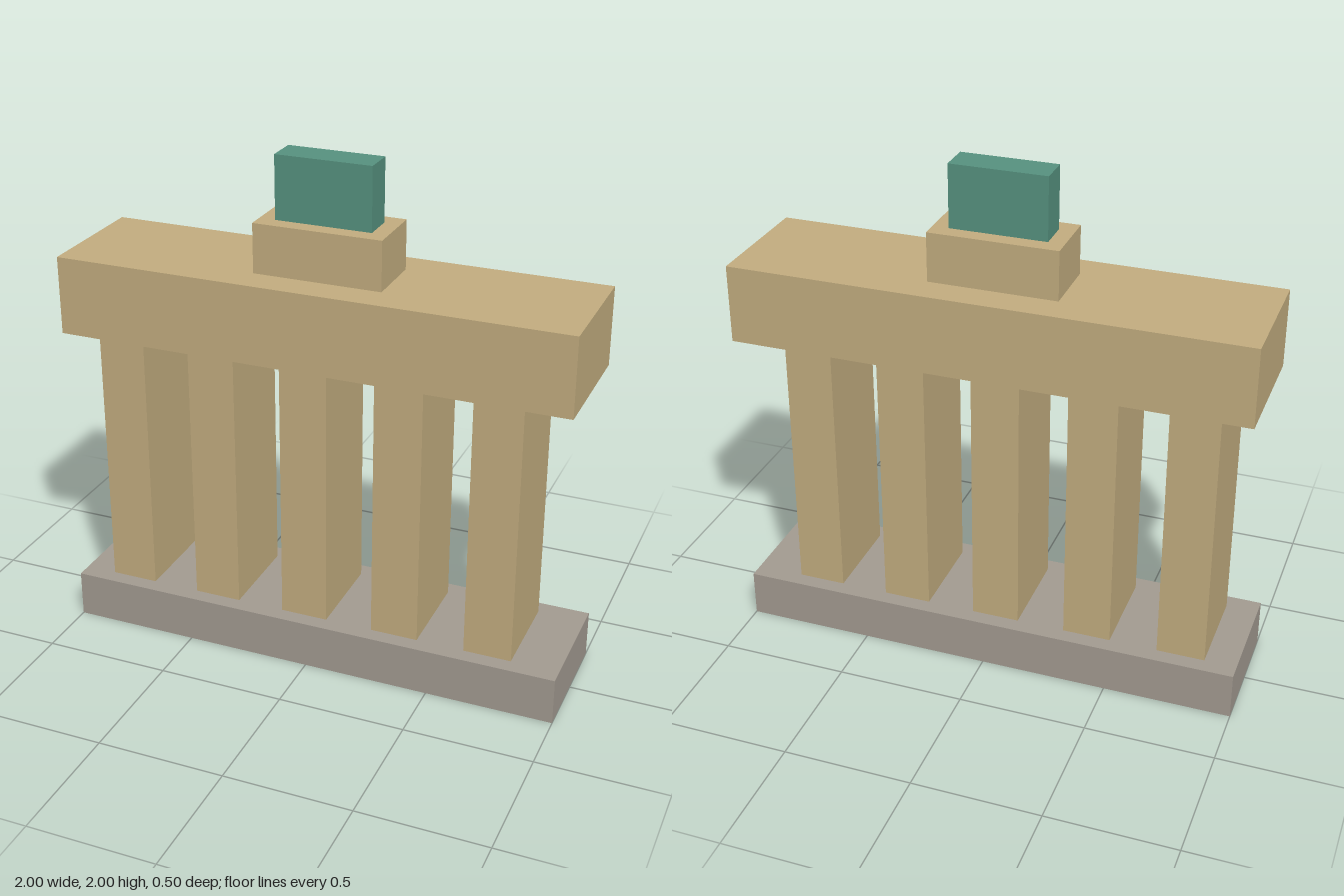
import * as THREE from 'three';

const material = (name, color) => {
  const m = new THREE.MeshStandardMaterial({ color });
  m.name = name;
  return m;
};

export function createModel() {
  const model = new THREE.Group();
  model.name = 'colonnadeGate';
  const sandstone = material('sandstone', 0xc4ae80);
  const greyStone = material('greyStone', 0xa49c92);
  const verdigris = material('verdigris', 0x579380);

  // Box centred on z, given its width, depth, bottom, top and x centre
  const block = (name, mat, width, depth, bottom, top, x = 0) => {
    const mesh = new THREE.Mesh(new THREE.BoxGeometry(width, top - bottom, depth), mat);
    mesh.name = name;
    mesh.position.set(x, (bottom + top) / 2, 0);
    model.add(mesh);
  };

  // Base slab
  block('base', greyStone, 2, 0.5, 0, 0.1875);

  // Row of five square pillars, set slightly towards -x
  for (let i = 0; i < 5; i++) {
    block(`pillar${i + 1}`, sandstone, 0.1875, 0.375, 0.1875, 1.255, -0.78125 + i * 0.375);
  }

  // Beam, pedestal and statue block on top
  block('beam', sandstone, 2, 0.5, 1.255, 1.5625);
  block('pedestal', sandstone, 0.5, 0.25, 1.5625, 1.755);
  block('statueBlock', verdigris, 0.375, 0.125, 1.755, 2);

  return model;
}
